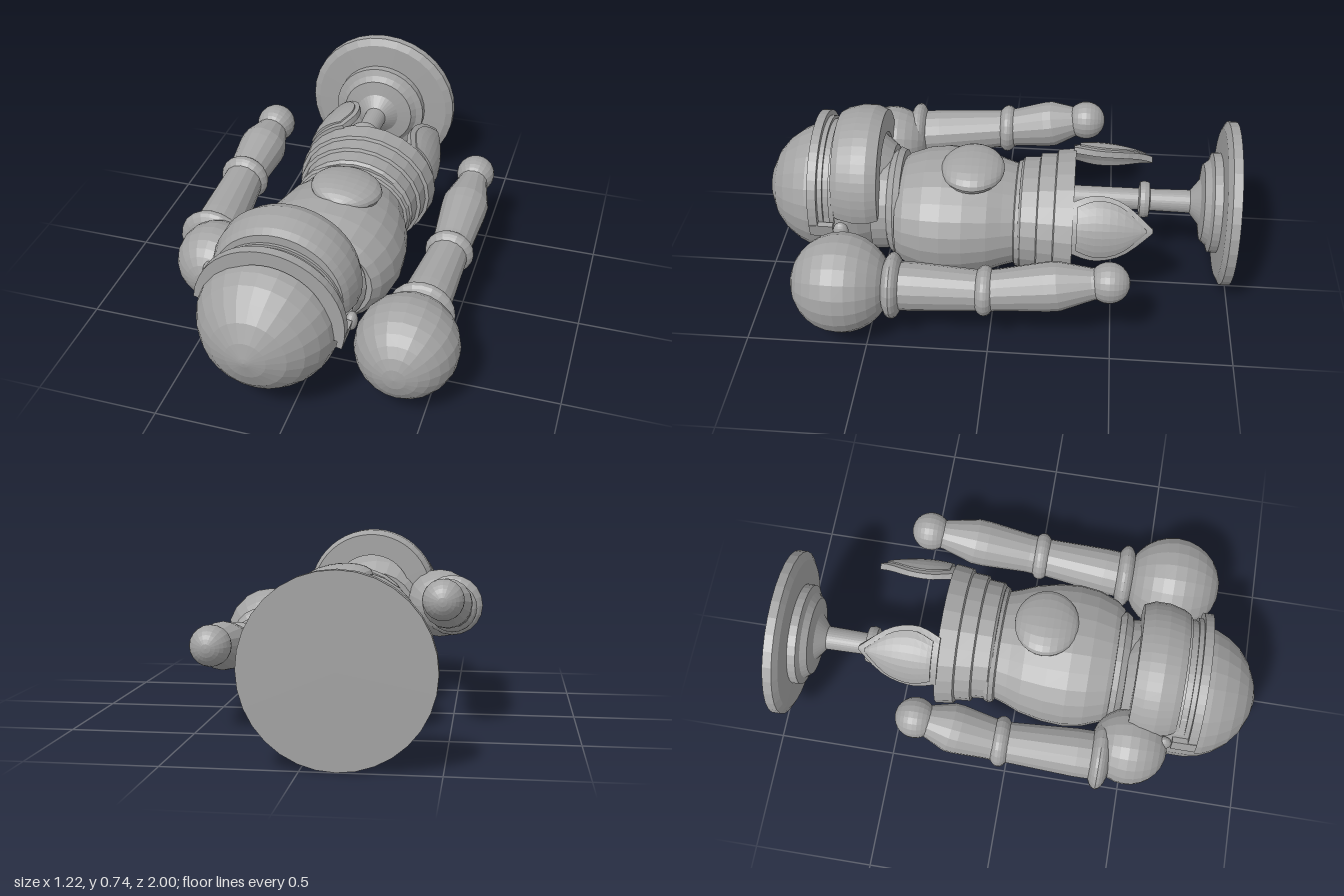
import * as THREE from 'three';

const grey = new THREE.MeshStandardMaterial({ color: 0xa3a3a3, flatShading: true });
grey.name = 'plain grey';
const greyOpen = grey.clone();
greyOpen.name = 'plain grey';
greyOpen.side = THREE.DoubleSide;

const ROLL = 0.2; // the whole figure leans towards +x

function createMesh(name, geometry, material = grey) {
  const mesh = new THREE.Mesh(geometry, material);
  mesh.name = name;
  return mesh;
}

// Lathe along z from [radius, z] pairs in rising z, flattened in y by sy
function latheZ(name, points, x, y, { sy = 1, sides = 24, start = 0, length = Math.PI * 2, material = grey } = {}) {
  const profile = points.map(([r, z]) => new THREE.Vector2(r, z));
  const geometry = new THREE.LatheGeometry(profile, sides, start, length).rotateX(Math.PI / 2);
  geometry.scale(1, sy, 1);
  const mesh = createMesh(name, geometry, material);
  mesh.position.set(x, y, 0);
  return mesh;
}

function ball(name, r, position, scale = [1, 1, 1]) {
  const geometry = new THREE.SphereGeometry(r, 20, 14).rotateX(Math.PI / 2);
  const mesh = createMesh(name, geometry.scale(...scale));
  mesh.position.set(...position);
  return mesh;
}

// Tapered limb between two points; radii are spread by [fraction, radius]
function limb(name, from, to, radii) {
  const a = new THREE.Vector3(...from), b = new THREE.Vector3(...to);
  const dir = b.clone().sub(a), len = dir.length();
  const profile = radii.map(([t, r]) => new THREE.Vector2(r, t * len));
  const mesh = createMesh(name, new THREE.LatheGeometry(profile, 16));
  mesh.position.copy(a);
  mesh.quaternion.setFromUnitVectors(new THREE.Vector3(0, 1, 0), dir.normalize());
  return mesh;
}

function createArm(name, p) {
  const arm = new THREE.Group();
  arm.name = name;
  arm.add(
    ball('shoulder', p.shoulderR, p.shoulder),
    ball('shoulderRing', 0.137, p.ring, [1, 1, 0.37]),
    limb('upperArm', p.ring, p.elbow, [[0, 0.1], [0.25, 0.1], [1, 0.082]]),
    ball('elbow', 0.104, p.elbow, [1, 1, 0.5]),
    limb('forearm', p.elbow, p.hand, [[0, 0.085], [0.12, 0.085], [0.5, 0.1], [0.6, 0.1], [0.87, 0.065], [1, 0.06]]),
    ball('hand', 0.083, p.hand),
  );
  return arm;
}

// Curved pointed thigh plate wrapped round the hips at the given angle
function createThighPlate(name, angle) {
  const width = new THREE.SplineCurve([[0, 0.75], [0.3, 1], [0.65, 0.8], [1, 0.06]].map((p) => new THREE.Vector2(...p)));
  const layer = (label, scale, base, thick, bulge) => {
    const geometry = new THREE.BoxGeometry(2, 1, 1, 8, 1, 10);
    const pos = geometry.attributes.position;
    for (let i = 0; i < pos.count; i++) {
      const u = pos.getX(i), t = 0.5 - pos.getZ(i);
      const w = width.getPoint(t);
      const v = 0.48 + (w.x - 0.48) * scale;
      const a = angle + u * 0.48 * w.y * scale;
      const arch = (1 - u * u) * Math.sin(Math.PI * (0.15 + 0.8 * t));
      const r = base + (pos.getY(i) + 0.5) * thick + bulge * arch - 0.03 * v * v;
      pos.setXYZ(i, -0.03 + r * Math.sin(a), 0.325 + r * Math.cos(a), -0.315 - 0.335 * v);
    }
    geometry.computeVertexNormals();
    return createMesh(label, geometry);
  };
  const plate = new THREE.Group();
  plate.name = name;
  plate.add(layer('plateRim', 1, 0.27, 0.026, 0.01), layer('platePanel', 0.84, 0.275, 0.03, 0.015));
  return plate;
}

export function createModel() {
  const model = new THREE.Group();
  model.name = 'armouredFigure';

  // Round foot, stem and collar
  model.add(latheZ('standBase', [
    [0, -1], [0.352, -1], [0.352, -0.962], [0.32, -0.945], [0.215, -0.94], [0.215, -0.905],
    [0.185, -0.895], [0.165, -0.87], [0.1, -0.86], [0.05, -0.82], [0.047, -0.65], [0.075, -0.645],
    [0.08, -0.625], [0.075, -0.605], [0.047, -0.6], [0.047, -0.31], [0, -0.31],
  ], -0.13, 0.353, { sides: 32 }));

  // Stepped skirt, waist and barrel chest
  model.add(latheZ('skirt', [
    [0, -0.325], [0.305, -0.325], [0.295, -0.25], [0.28, -0.245], [0.275, -0.18], [0.26, -0.175],
    [0.255, -0.11], [0.24, -0.1], [0, -0.1],
  ], -0.02, 0.335, { sy: 0.9 }));
  model.add(latheZ('torso', [
    [0, -0.125], [0.25, -0.125], [0.258, -0.105], [0.25, -0.085], [0.238, -0.08], [0.255, -0.03], [0.28, 0.03],
    [0.302, 0.13], [0.308, 0.22], [0.297, 0.3], [0.265, 0.38], [0.235, 0.415], [0, 0.415],
  ], -0.03, 0.325, { sy: 0.84 }));
  model.add(latheZ('neck', [
    [0, 0.4], [0.225, 0.4], [0.235, 0.425], [0.215, 0.45], [0.205, 0.455], [0.21, 0.52], [0, 0.52],
  ], -0.05, 0.34));
  const chestBoss = ball('chestBoss', 1, [0.005, 0.568, 0.1], [0.148, 0.057, 0.132]);
  chestBoss.rotation.z = -0.1;
  model.add(chestBoss);

  // Domed helmet
  model.add(latheZ('helmet', [
    [0, 0.45], [0.19, 0.45], [0.24, 0.51], [0.265, 0.58], [0.28, 0.67], [0.28, 0.74], [0.268, 0.8],
    [0.245, 0.85], [0.205, 0.905], [0.15, 0.95], [0.08, 0.982], [0.02, 0.997], [0, 1],
  ], -0.115, 0.362));

  // Face guard and brim, both wrapping the front half of the head
  const half = { start: Math.PI * 0.5 - ROLL, length: Math.PI, material: greyOpen };
  model.add(latheZ('faceGuard', [
    [0.18, 0.485], [0.275, 0.485], [0.294, 0.53], [0.294, 0.59], [0.278, 0.65], [0.262, 0.678], [0.18, 0.678], [0.18, 0.485],
  ], -0.095, 0.45, half));
  model.add(latheZ('brim', [
    [0.24, 0.735], [0.3, 0.735], [0.3, 0.772], [0.24, 0.772], [0.24, 0.735],
  ], -0.1, 0.403, half));
  // Eye slit band between guard and brim
  model.add(latheZ('eyeBand', [
    [0.23, 0.67], [0.272, 0.67], [0.272, 0.69], [0.262, 0.69], [0.262, 0.715], [0.275, 0.715], [0.275, 0.74], [0.23, 0.74],
  ], -0.1, 0.405, half));
  // Brim end tabs and hinge pins on both sides
  for (const side of [-1, 1]) {
    const x = -0.1 + side * 0.288 * Math.cos(ROLL), y = 0.403 - side * 0.288 * Math.sin(ROLL);
    const tab = createMesh('brimTab', new THREE.BoxGeometry(0.024, 0.06, 0.1));
    tab.position.set(x, y, 0.722);
    tab.rotation.z = -ROLL;
    model.add(tab, ball('hingePin', 0.04, [x + side * 0.005, y, 0.64], [0.6, 1, 0.8]));
  }

  // Thigh plates
  model.add(createThighPlate('rightThighPlate', -0.74), createThighPlate('leftThighPlate', 1.12));

  // Arms
  model.add(createArm('leftArm', {
    shoulderR: 0.207, shoulder: [0.4, 0.247, 0.605], ring: [0.405, 0.25, 0.393],
    elbow: [0.43, 0.27, 0.015], hand: [0.435, 0.35, -0.48],
  }));
  model.add(createArm('rightArm', {
    shoulderR: 0.156, shoulder: [-0.412, 0.41, 0.505], ring: [-0.473, 0.415, 0.393],
    elbow: [-0.487, 0.455, -0.01], hand: [-0.465, 0.53, -0.36],
  }));
  return model;
}
